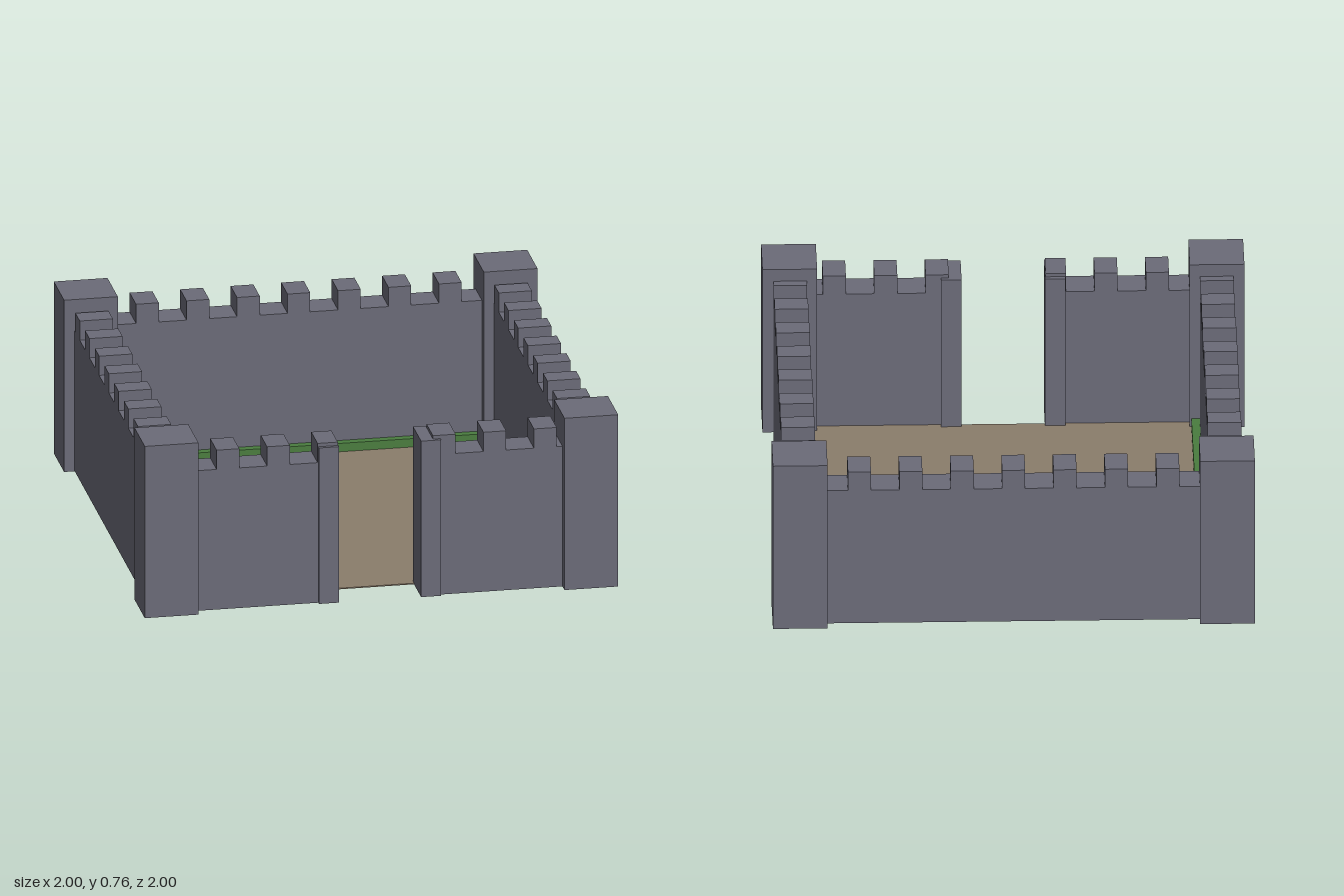
import * as THREE from 'three';

export function createModel() {
  const model = new THREE.Group();
  model.name = 'courtyardFort';

  const material = (name, color) => {
    const m = new THREE.MeshStandardMaterial({ color });
    m.name = name;
    return m;
  };
  const stone = material('stone', 0x6b6b78);
  const earth = material('earth', 0x8b7d6b);
  const grass = material('grass', 0x4a7c3f);

  // Box given by its extents on each axis
  const block = (parent, name, mat, [x0, x1], [y0, y1], [z0, z1]) => {
    const mesh = new THREE.Mesh(new THREE.BoxGeometry(x1 - x0, y1 - y0, z1 - z0), mat);
    mesh.position.set((x0 + x1) / 2, (y0 + y1) / 2, (z0 + z1) / 2);
    mesh.name = name;
    parent.add(mesh);
  };

  const wallTop = 0.62, merlonTop = 0.705, step = 0.2133, half = 0.048;

  // Wall with evenly spaced merlons along x or z
  const wall = (name, axis, [a0, a1], across, first, count) => {
    const group = new THREE.Group();
    group.name = name;
    const add = (part, along, y) => axis === 'x'
      ? block(group, part, stone, along, y, across)
      : block(group, part, stone, across, y, along);
    add('wallBody', [a0, a1], [0, wallTop]);
    for (let i = 0; i < count; i++) {
      const c = first + i * step;
      add('merlon', [c - half, Math.min(c + half, a1)], [wallTop, merlonTop]);
    }
    model.add(group);
  };

  wall('backWall', 'x', [-0.9, 0.9], [-0.955, -0.815], -0.64, 7);
  wall('leftWall', 'z', [-0.9, 0.9], [0.815, 0.955], -0.711, 8);
  wall('rightWall', 'z', [-0.9, 0.9], [-0.955, -0.815], -0.711, 8);
  wall('frontWallRight', 'x', [-0.9, -0.176], [0.815, 0.955], -0.64, 3);
  wall('frontWallLeft', 'x', [0.176, 0.9], [0.815, 0.955], 0.274, 3);

  // Corner towers and gate posts
  for (const sx of [-1, 1]) {
    const span = (s, a, b) => (s > 0 ? [a, b] : [-b, -a]);
    for (const sz of [-1, 1]) {
      block(model, 'cornerTower', stone, span(sx, 0.773, 1), [0, 0.76], span(sz, 0.773, 1));
    }
    block(model, 'gatePost', stone, span(sx, 0.173, 0.258), [0, 0.69], [0.795, 0.97]);
  }

  // Courtyard floor with grass verges along two walls
  block(model, 'courtyardFloor', earth, [-0.782, 0.815], [0, 0.005], [-0.782, 0.815]);
  block(model, 'backVerge', grass, [-0.815, 0.815], [0, 0.042], [-0.815, -0.78]);
  block(model, 'sideVerge', grass, [-0.815, -0.78], [0, 0.042], [-0.78, 0.815]);

  return model;
}
